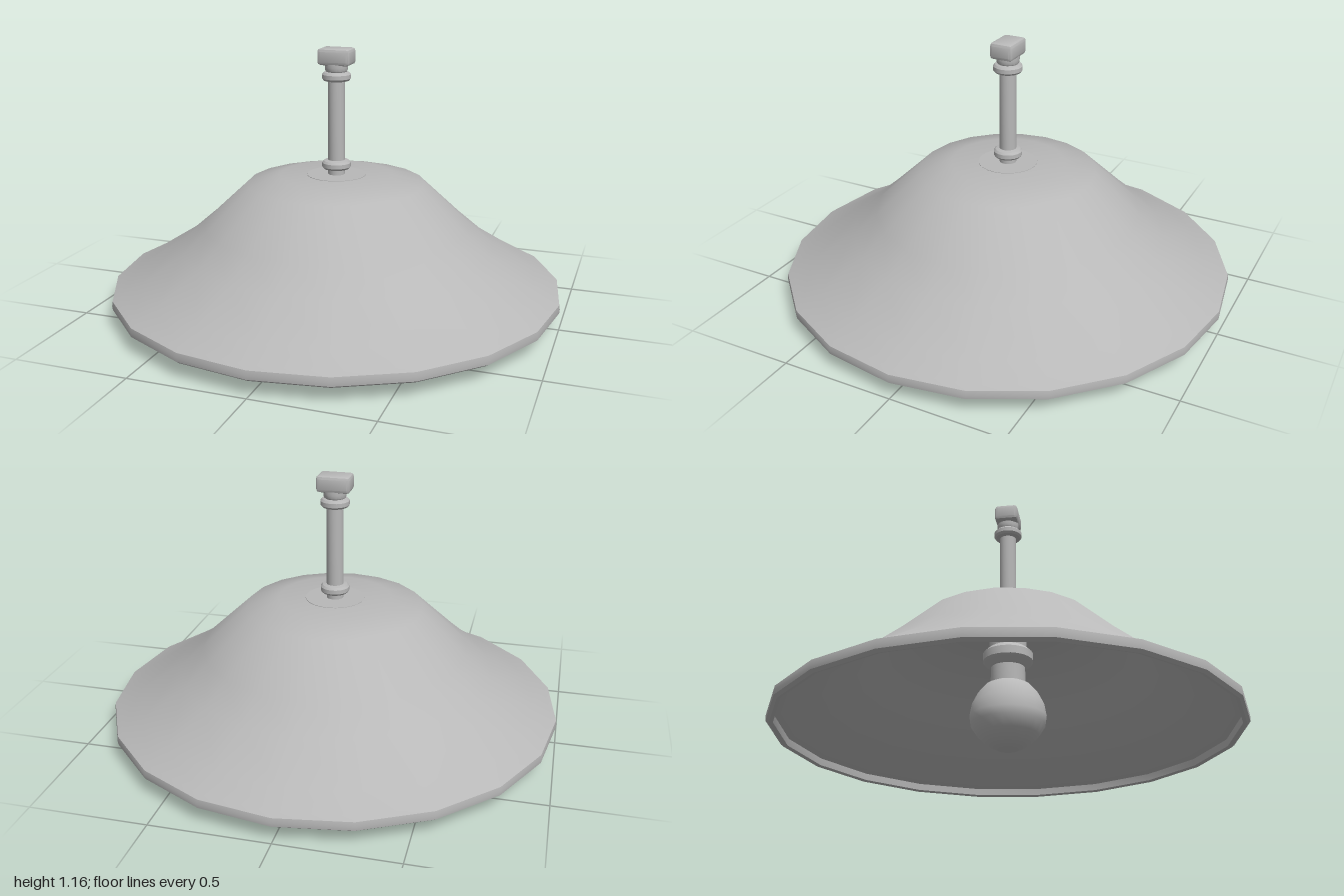
import * as THREE from 'three';
import { toCreasedNormals } from 'three/addons/utils/BufferGeometryUtils.js';
import { RoundedBoxGeometry } from 'three/addons/geometries/RoundedBoxGeometry.js';

export function createModel() {
  const group = new THREE.Group();
  group.name = 'pendantLamp';
  const metal = new THREE.MeshStandardMaterial({ color: 0xb8b8b8 });
  metal.name = 'greyMetal';

  // Turned part; profile is [radius, height] pairs, running upwards on outer faces
  function turned(name, profile, sides, crease = 0.6) {
    const points = profile.map(([r, y]) => new THREE.Vector2(r, y));
    const geometry = toCreasedNormals(new THREE.LatheGeometry(points, sides), crease);
    const mesh = new THREE.Mesh(geometry, metal);
    mesh.name = name;
    group.add(mesh);
    return mesh;
  }

  // Flared shade: down the inside, round the rim, up the outside
  turned('shade', [
    [0, 0.575], [0.24, 0.575], [0.375, 0.54], [0.57, 0.36], [0.685, 0.265], [0.87, 0.145], [0.965, 0.1],
    [0.968, 0.07], [0.985, 0.065], [0.998, 0.075], [1, 0.092], [0.997, 0.112], [0.975, 0.122],
    [0.887, 0.168], [0.7, 0.286], [0.59, 0.38], [0.39, 0.566], [0.25, 0.6], [0, 0.6],
  ], 20, 0.7);

  // Socket under the shade, with flange and collar
  turned('socket', [
    [0, 0.28], [0.075, 0.28], [0.075, 0.37], [0.095, 0.385], [0.11, 0.4], [0.11, 0.435],
    [0.095, 0.45], [0.082, 0.46], [0.082, 0.545], [0.13, 0.565], [0.13, 0.602], [0, 0.602],
  ], 24);

  // Bulb
  turned('bulb', [
    [0, 0], [0.045, 0.004], [0.09, 0.026], [0.13, 0.065], [0.16, 0.11],
    [0.165, 0.145], [0.155, 0.2], [0.13, 0.25], [0.1, 0.285], [0.07, 0.3], [0, 0.3],
  ], 20);

  // Hanging stem, with a collar at each end
  turned('stem', [[0.037, 0.6], [0.037, 1.06]], 16);
  for (const [name, y] of [['lowerCollar', 0.645], ['upperCollar', 1.035]]) {
    const collar = turned(name, [
      [0.037, -0.022], [0.055, -0.018], [0.063, -0.009], [0.063, 0.009], [0.055, 0.018], [0.037, 0.022],
    ], 20);
    collar.position.y = y;
  }

  // Swivel and ceiling block
  turned('swivel', [
    [0.04, 1.05], [0.048, 1.06], [0.05, 1.075], [0.05, 1.09], [0, 1.09],
  ], 16);
  const block = new THREE.Mesh(
    toCreasedNormals(new RoundedBoxGeometry(0.146, 0.072, 0.104, 1, 0.014), 0.5), metal);
  block.name = 'ceilingBlock';
  block.position.y = 1.121;
  group.add(block);

  return group;
}
